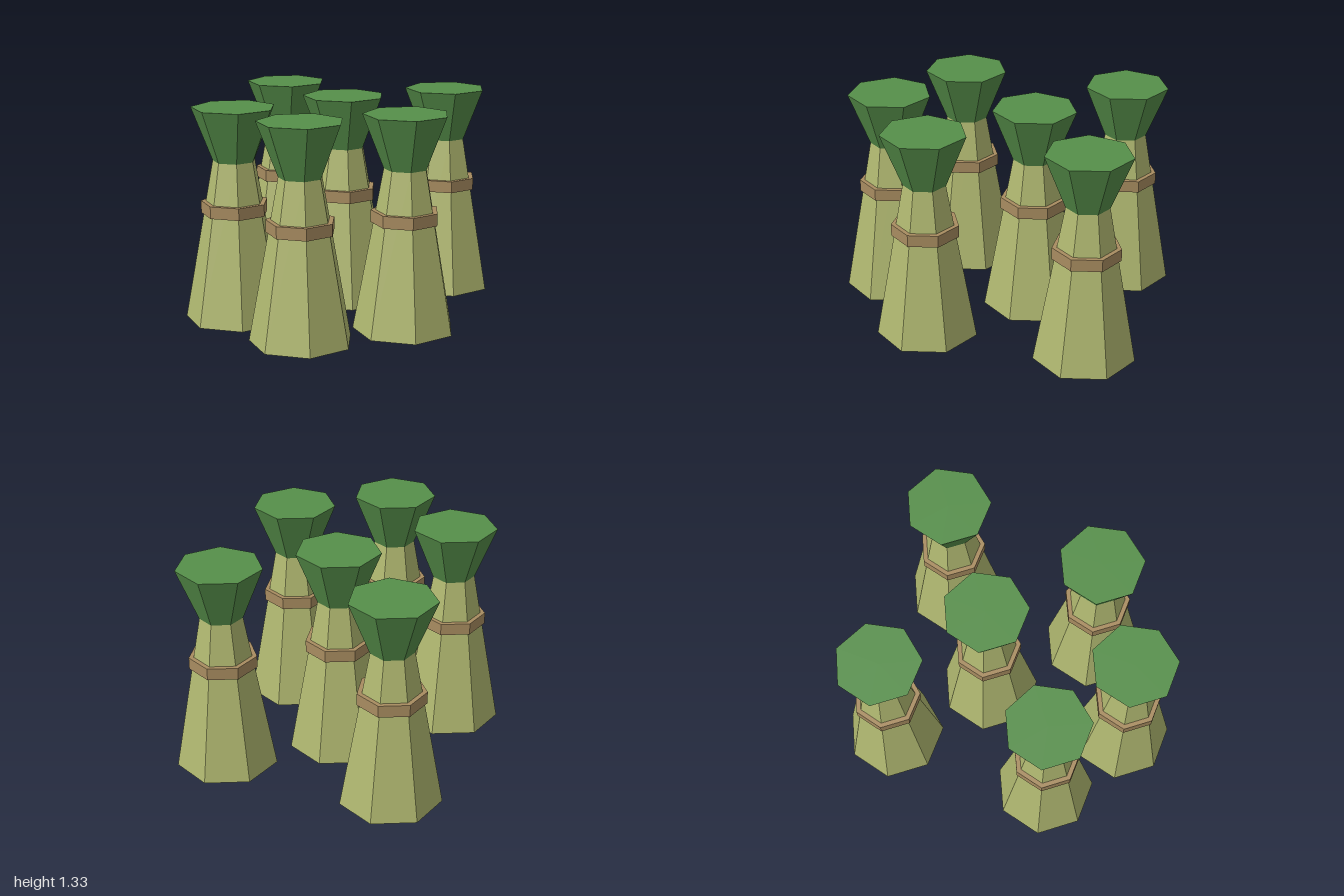
import * as THREE from 'three';

const SIDES = 7;

const material = (color) => new THREE.MeshStandardMaterial({ color, flatShading: true });

// Seven-sided tapered section with a corner facing the back
function section(name, rTop, rBottom, y0, y1, mat, open = false) {
  const geo = new THREE.CylinderGeometry(rTop, rBottom, y1 - y0, SIDES, 1, open, Math.PI);
  geo.translate(0, (y0 + y1) / 2, 0);
  const mesh = new THREE.Mesh(geo, mat);
  mesh.name = name;
  return mesh;
}

export function createModel() {
  const model = new THREE.Group();
  model.name = 'sheaves';
  const straw = material(0xb0b870);
  const leaf = material(0x568f4a);
  const twine = material(0xa88c60);

  // Centre of each sheaf: x, z
  const spots = [
    [-0.547, -0.684],
    [0.542, -0.684],
    [-0.017, -0.219],
    [-0.547, 0.376],
    [0.515, 0.316],
    [-0.017, 0.715],
  ];

  for (const [x, z] of spots) {
    const sheaf = new THREE.Group();
    sheaf.name = 'sheaf';
    sheaf.add(
      section('stalks', 0.133, 0.316, 0, 1, straw),
      section('tieBand', 0.21, 0.21, 0.67, 0.745, twine),
      section('leafyTop', 0.263, 0.133, 1, 1.33, leaf),
    );
    sheaf.position.set(x, 0, z);
    model.add(sheaf);
  }
  return model;
}
